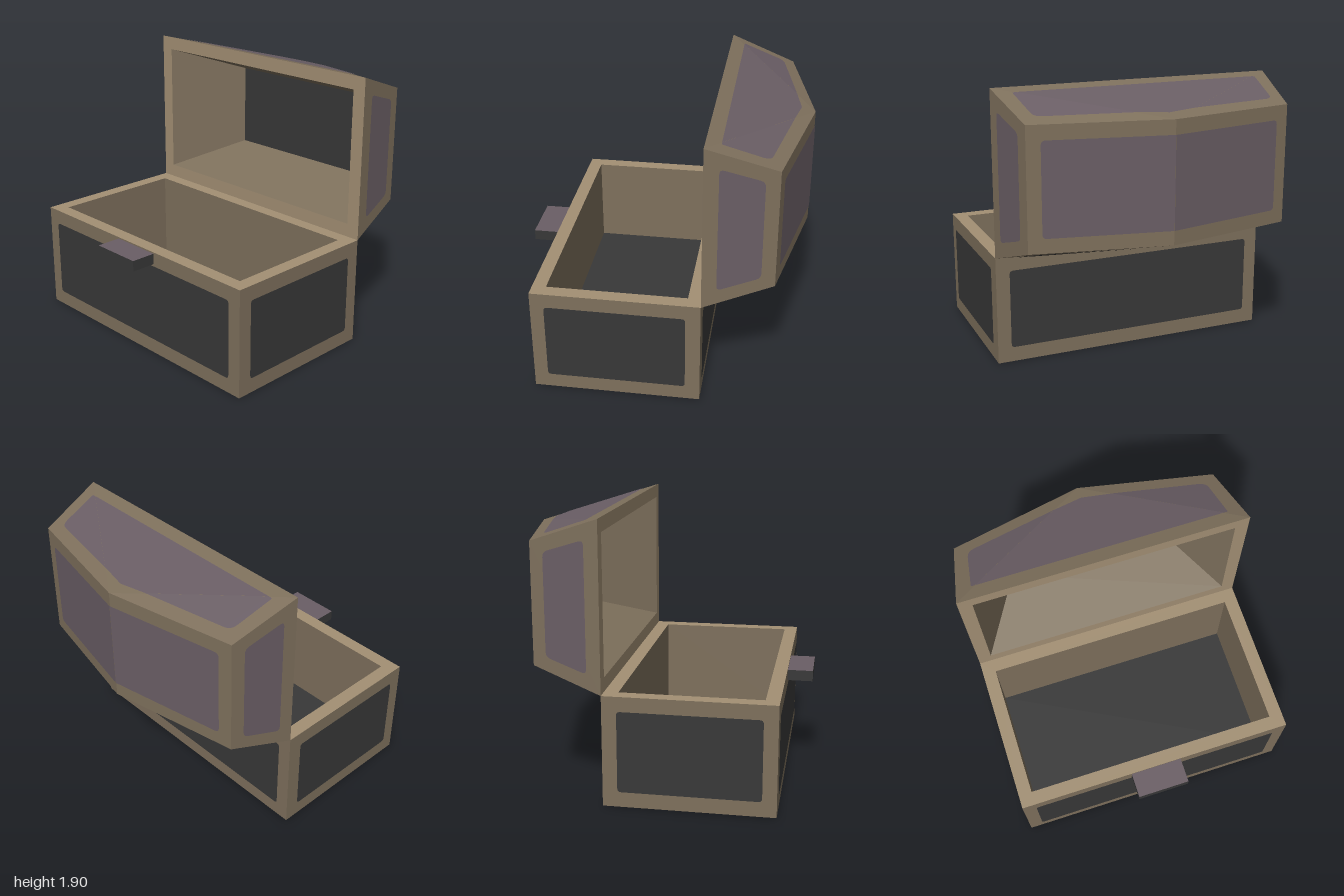
import * as THREE from 'three';

const flat = (name, color) => {
  const m = new THREE.MeshStandardMaterial({ color });
  m.name = name;
  return m;
};

export function createModel() {
  const brown = flat('brown frame', 0x7e705c);
  const tan = flat('tan rim', 0xa39074);
  const charcoal = flat('charcoal panel', 0x383838);
  const mauve = flat('mauve panel', 0x6a5e65);

  const model = new THREE.Group();
  model.name = 'openChest';
  const group = (name) => {
    const g = new THREE.Group();
    g.name = name;
    model.add(g);
    return g;
  };
  const base = group('base'), lid = group('lid');
  const baseCentre = new THREE.Vector3(0, 0.38, 0.2375);
  const lidCentre = new THREE.Vector3(0, 1.33, -0.58);

  const add = (parent, name, geometry, material) => {
    const mesh = new THREE.Mesh(geometry, material);
    mesh.name = name;
    parent.add(mesh);
    return mesh;
  };

  // Flat polygon facing away from a centre (or towards it), with an optional
  // corner radius as the fourth number of a point
  function plate(parent, name, corners, material, centre, { lift = 0.004, inward = false } = {}) {
    let pts = corners.map(([x, y, z, r = 0]) => ({ p: new THREE.Vector3(x, y, z), r }));
    const o = pts[0].p;
    const n = new THREE.Vector3()
      .crossVectors(pts[1].p.clone().sub(o), pts[2].p.clone().sub(o)).normalize();
    if ((n.dot(o.clone().sub(centre)) < 0) !== inward) {
      pts.reverse();
      n.negate();
    }
    const u = pts[1].p.clone().sub(pts[0].p).normalize();
    const v = new THREE.Vector3().crossVectors(n, u);
    const flatPts = pts.map(({ p }) => {
      const d = p.clone().sub(o);
      return new THREE.Vector2(d.dot(u), d.dot(v));
    });
    const shape = new THREE.Shape();
    flatPts.forEach((c, i) => {
      const count = flatPts.length, r = pts[i].r;
      const towards = (q) => q.clone().sub(c).setLength(r).add(c);
      const a = r ? towards(flatPts[(i + count - 1) % count]) : c;
      if (i === 0) shape.moveTo(a.x, a.y);
      else shape.lineTo(a.x, a.y);
      if (r) {
        const b = towards(flatPts[(i + 1) % count]);
        shape.quadraticCurveTo(c.x, c.y, b.x, b.y);
      }
    });
    shape.closePath();
    const geometry = new THREE.ShapeGeometry(shape, 4);
    geometry.applyMatrix4(new THREE.Matrix4().makeBasis(u, v, n)
      .setPosition(o.clone().addScaledVector(n, lift)));
    return add(parent, name, geometry, material);
  }

  // Rectangular ring in the xy plane
  function ring(x, y0, y1, xi, yi0, yi1) {
    const rect = (S, w, a, b) => new S([[-w, a], [w, a], [w, b], [-w, b]]
      .map(([px, py]) => new THREE.Vector2(px, py)));
    const shape = rect(THREE.Shape, x, y0, y1);
    shape.holes.push(rect(THREE.Path, xi, yi0, yi1));
    return shape;
  }

  // Base: bottom slab and hollow walls with a lighter rim
  const front = 0.81, back = -0.335, top = 0.76, floor = 0.1;
  const slab = new THREE.BoxGeometry(2, floor, front - back);
  slab.translate(0, floor / 2, (front + back) / 2);
  add(base, 'bottomSlab', slab, brown);
  const walls = new THREE.ExtrudeGeometry(ring(1, -front, -back, 0.905, -0.715, 0.24),
    { depth: top - floor, bevelEnabled: false });
  walls.rotateX(-Math.PI / 2).translate(0, floor, 0);
  add(base, 'walls', walls, [tan, brown]);

  // Base panels
  const r = 0.025;
  for (const [name, z] of [['frontPanel', front], ['backPanel', back]]) {
    plate(base, name, [[-0.905, 0.105, z, r], [0.905, 0.105, z, r],
      [0.905, 0.66, z, r], [-0.905, 0.66, z, r]], charcoal, baseCentre);
  }
  for (const s of [-1, 1]) {
    plate(base, s > 0 ? 'leftPanel' : 'rightPanel', [[s, 0.105, 0.715, r], [s, 0.105, -0.235, r],
      [s, 0.66, -0.235, r], [s, 0.66, 0.715, r]], charcoal, baseCentre);
  }
  const level = (y) => [[-0.905, y, 0.715], [0.905, y, 0.715], [0.905, y, -0.24], [-0.905, y, -0.24]];
  plate(base, 'bottomPanel', level(0), charcoal, baseCentre);
  plate(base, 'innerFloor', level(floor), charcoal, baseCentre, { inward: true });

  // Latch
  const latch = new THREE.BoxGeometry(0.37, 0.075, 0.175);
  latch.translate(0, 0.7125, 0.8975);
  add(base, 'latch', latch, [charcoal, charcoal, mauve, charcoal, charcoal, charcoal]);

  // Lid rim
  const rim = new THREE.ShapeGeometry(ring(1, 0.76, 1.9, 0.905, 0.855, 1.805));
  rim.translate(0, 0, back);
  add(lid, 'lidRim', rim, tan);

  // Lid shell: tapered sides and a back with a raised centre line
  const mid = 1.33, rimH = 0.57, backH = 0.41;
  const shell = { lift: 0 };
  for (const v of [-1, 1]) {
    const yr = mid + v * rimH, yb = mid + v * backH;
    const panelMat = v > 0 ? mauve : charcoal;
    const side = v > 0 ? 'Top' : 'Bottom';
    plate(lid, `lid${side}`, [[-1, yr, back], [1, yr, back], [0, yb, -0.985]], brown, lidCentre, shell);
    // height of the middle and corner facets above a point
    const yMid = (z) => yr - v * 0.16 * (back - z) / 0.65;
    const yCorner = (x, z) => yr - (0.0296 * (x - 1) - 0.1472 * (z - back)) * v / 0.413;
    const c = [0.2065, -0.851], e = [0.854, -0.43];
    plate(lid, `lid${side}Panel`, [[-e[0], e[1]], e, c, [0, -0.89], [-c[0], c[1]]]
      .map(([x, z]) => [x, yMid(z), z]), panelMat, lidCentre);
    for (const s of [-1, 1]) {
      plate(lid, `lid${side}Corner`, [[s, yr, back], [s * 0.92, yb, -0.8], [0, yb, -0.985]],
        brown, lidCentre, shell);
      plate(lid, `lid${side}PanelCorner`, [[...e], [0.88, -0.43, 0.01], [0.84, -0.73, 0.05], [...c]]
        .map(([x, z, round]) => [s * x, yCorner(x, z), z, round]), panelMat, lidCentre);
    }
    // sloped interior wall
    const yo = mid + v * 0.475, yi = mid + v * 0.3;
    plate(lid, `lidInner${side}`, [[-0.905, yo, back], [0.905, yo, back],
      [0.58, yi, -0.83], [-0.58, yi, -0.83]], brown, lidCentre, { lift: 0, inward: true });
  }

  // Lid sides, back halves and interior sides
  const backZ = (x) => -0.985 + 0.185 * x / 0.92;
  for (const s of [-1, 1]) {
    const wall = (x0, z0, h0, x1, z1, h1, round = 0) => [
      [s * x0, mid - h0, z0, round], [s * x1, mid - h1, z1, round],
      [s * x1, mid + h1, z1, round], [s * x0, mid + h0, z0, round]];
    plate(lid, 'lidSide', wall(1, back, rimH, 0.92, -0.8, backH), brown, lidCentre, shell);
    plate(lid, 'lidSidePanel', wall(0.984, -0.43, 0.435, 0.936, -0.71, 0.345, 0.035), mauve, lidCentre);
    plate(lid, 'lidBack', wall(0, -0.985, backH, 0.92, -0.8, backH), brown, lidCentre, shell);
    const half = wall(0, backZ(0), 0.312, 0.83, backZ(0.83), 0.312);
    half[1][3] = half[2][3] = 0.03;
    plate(lid, 'lidBackPanel', half, mauve, lidCentre);
    plate(lid, 'lidInnerSide', wall(0.905, back, 0.475, 0.58, -0.83, 0.3), brown, lidCentre,
      { lift: 0, inward: true });
  }
  plate(lid, 'lidInnerBack', [[-0.58, 1.03, -0.83], [0.58, 1.03, -0.83],
    [0.58, 1.63, -0.83], [-0.58, 1.63, -0.83]], charcoal, lidCentre, { lift: 0, inward: true });

  return model;
}
